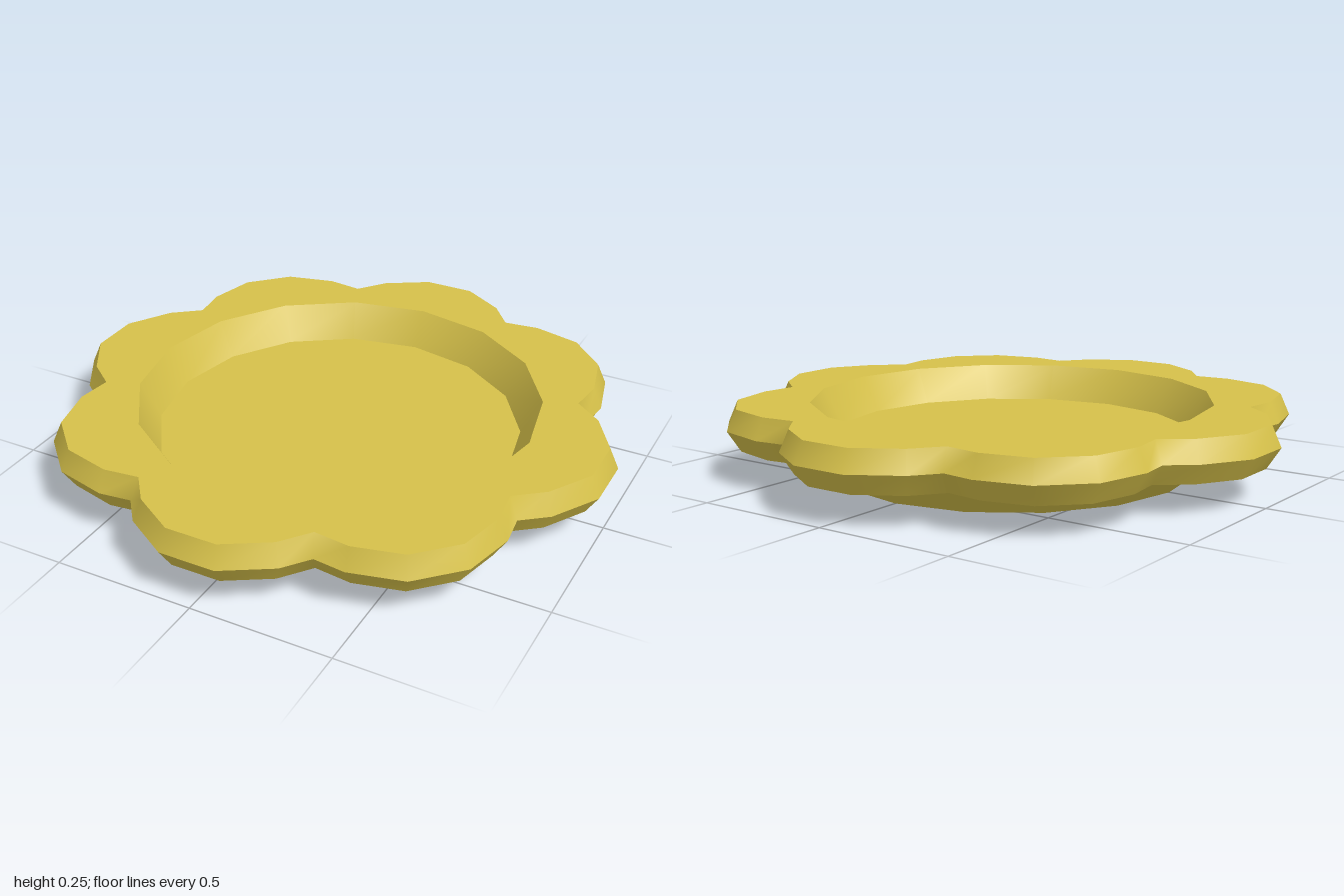
import * as THREE from 'three';

// Regular polygon ring as 2D points
const circle = (r, n = 16) =>
  Array.from({ length: n }, (_, i) => {
    const a = (i / n) * Math.PI * 2;
    return new THREE.Vector2(r * Math.cos(a), r * Math.sin(a));
  });

// Eight-lobed outline: one valley and four lobe points per petal
function petalOutline() {
  const lobe = [[0.81, -0.336], [0.9, -0.265], [1, -0.1], [1, 0.1], [0.9, 0.265]];
  const pts = [];
  for (let k = 0; k < 8; k++)
    for (const [x, y] of lobe)
      pts.push(new THREE.Vector2(x, y).rotateAround(new THREE.Vector2(), (k * Math.PI) / 4));
  return pts;
}

// Move every edge of an outline inward by d (mitred corners)
function inset(pts, d) {
  const n = pts.length;
  const normal = (a, b) => new THREE.Vector2(b.y - a.y, a.x - b.x).normalize();
  return pts.map((p, i) => {
    const n1 = normal(pts[(i + n - 1) % n], p);
    const n2 = normal(p, pts[(i + 1) % n]);
    const m = n1.clone().add(n2).normalize();
    return p.clone().addScaledVector(m, -d / m.dot(n1));
  });
}

// Closed wall between two rings; it faces outward when b is above a
function wall(a, ya, b, yb) {
  const n = a.length, pos = [], idx = [];
  a.forEach((p) => pos.push(p.x, ya, -p.y));
  b.forEach((p) => pos.push(p.x, yb, -p.y));
  for (let i = 0; i < n; i++) {
    const j = (i + 1) % n;
    idx.push(i, j, n + j, i, n + j, n + i);
  }
  const g = new THREE.BufferGeometry();
  g.setAttribute('position', new THREE.Float32BufferAttribute(pos, 3));
  g.setIndex(idx);
  g.computeVertexNormals();
  return g;
}

// Horizontal face, optionally with a hole, facing up or down
function face(outline, y, up, hole) {
  const s = new THREE.Shape(outline);
  if (hole) s.holes.push(new THREE.Path(hole));
  return new THREE.ShapeGeometry(s).rotateX(up ? -Math.PI / 2 : Math.PI / 2).translate(0, y, 0);
}

export function createModel() {
  const model = new THREE.Group();
  model.name = 'scallopedDish';
  const material = new THREE.MeshStandardMaterial({ color: 0xd6c14a });
  const add = (name, geometry) => {
    const mesh = new THREE.Mesh(geometry, material);
    mesh.name = name;
    model.add(mesh);
  };

  const yRim = 0.255, yMid = 0.18, yUnder = 0.107, yFloor = 0.128;
  const outer = petalOutline();
  const rimTop = inset(outer, 0.032);
  const rimBottom = inset(outer, 0.045);
  const opening = circle(0.717), floor = circle(0.647);
  const bowlTop = circle(0.785), base = circle(0.647);

  // Scalloped rim
  add('rimTop', face(rimTop, yRim, true, opening));
  add('rimUpperBevel', wall(outer, yMid, rimTop, yRim));
  add('rimLowerBevel', wall(rimBottom, yUnder, outer, yMid));
  add('rimUnderside', face(rimBottom, yUnder, false, bowlTop));

  // Recess
  add('recessWall', wall(opening, yRim, floor, yFloor));
  add('recessFloor', face(floor, yFloor, true));

  // Tapered foot
  add('footWall', wall(base, 0, bowlTop, yUnder));
  add('footBase', face(base, 0, false));

  return model;
}
